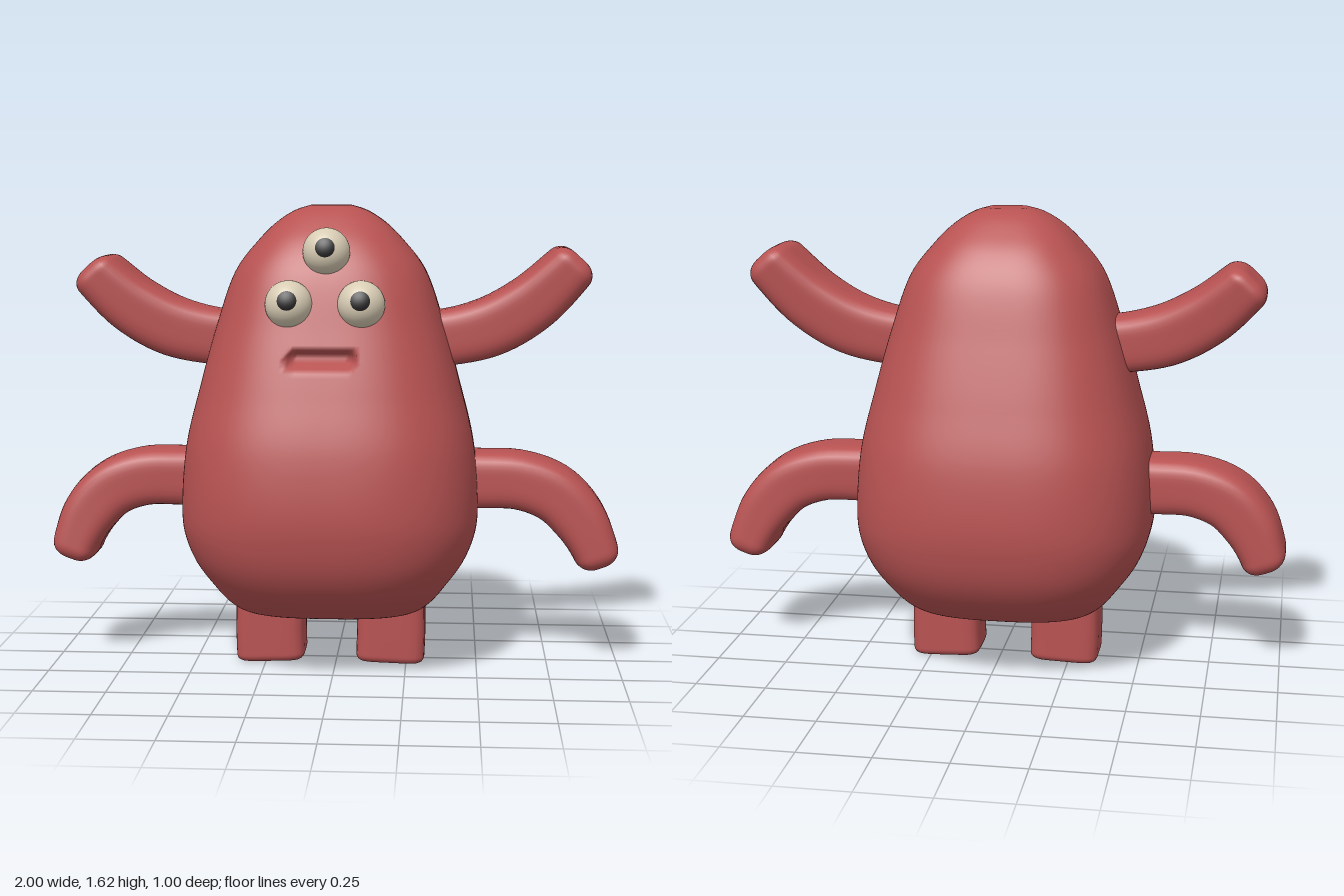
import * as THREE from 'three';

const CX = -0.02; // body centre line
const red = new THREE.MeshStandardMaterial({ color: 0xb85252 });
const ivory = new THREE.MeshStandardMaterial({ color: 0xd8ccb4 });
const black = new THREE.MeshStandardMaterial({ color: 0x1c1a1a });
red.name = 'skin red';
ivory.name = 'eye ivory';
black.name = 'pupil black';

// Closed smooth skin over rings of points; both ends are capped at the ring centre
function loft(rows, cols, point) {
  const pos = [], index = [];
  for (let i = 0; i < rows; i++)
    for (let j = 0; j < cols; j++) pos.push(...point(i / (rows - 1), (j / cols) * Math.PI * 2));
  const centre = (row) => {
    const c = [0, 0, 0];
    for (let j = 0; j < cols; j++)
      for (let k = 0; k < 3; k++) c[k] += pos[(row * cols + j) * 3 + k] / cols;
    return c;
  };
  const first = rows * cols, last = first + 1;
  const ends = [...centre(0), ...centre(rows - 1)];
  pos.push(...ends);
  for (let j = 0; j < cols; j++) {
    const n = (j + 1) % cols, top = (rows - 1) * cols;
    for (let i = 0; i < rows - 1; i++) {
      const a = i * cols + j, b = i * cols + n;
      index.push(a, a + cols, b, b, a + cols, b + cols);
    }
    index.push(first, j, n, last, top + n, top + j);
  }
  const geo = new THREE.BufferGeometry();
  geo.setAttribute('position', new THREE.Float32BufferAttribute(pos, 3));
  geo.setIndex(index);
  geo.computeVertexNormals();
  return geo;
}

// Rounded-square outline
function squircle(a, n) {
  const c = Math.cos(a), s = Math.sin(a);
  const r = Math.pow(Math.abs(c) ** n + Math.abs(s) ** n, -1 / n);
  return [c * r, s * r];
}

function bodyGeometry() {
  // half width, height, half depth
  const profile = new THREE.CatmullRomCurve3([
    [0.06, 0.195, 0.05], [0.2, 0.196, 0.14], [0.31, 0.203, 0.24], [0.36, 0.235, 0.31],
    [0.42, 0.31, 0.4], [0.48, 0.4, 0.46], [0.515, 0.5, 0.49], [0.52, 0.6, 0.5],
    [0.503, 0.8, 0.48], [0.455, 1.0, 0.425], [0.4, 1.2, 0.362], [0.33, 1.4, 0.295],
    [0.255, 1.5, 0.235], [0.19, 1.565, 0.168], [0.125, 1.607, 0.11], [0.07, 1.625, 0.06],
  ].map((p) => new THREE.Vector3(...p)));
  profile.arcLengthDivisions = 600;
  return loft(130, 200, (t, a) => {
    const p = profile.getPointAt(t), [c, s] = squircle(a, 2.8);
    const x = CX + p.x * c;
    let z = p.z * s;
    // mouth: a slot pressed into the face
    if (z > 0) {
      const d = Math.hypot(Math.max(Math.abs(x + 0.03) - 0.088, 0), p.y - 1.118);
      z -= 0.05 * (1 - THREE.MathUtils.smoothstep(d, 0.016, 0.031));
    }
    return [x, p.y, z];
  });
}

// Boxy limb in the xy plane; points are [x, y, half thickness], depth runs d0 to d1
function limbGeometry(side, points, d0, d1, { round = 0.05, shift = [0, 0, 0], n = 4 } = {}) {
  const path = new THREE.CatmullRomCurve3(points.map((p) => new THREE.Vector3(...p)));
  const length = path.getLength();
  return loft(40, 48, (u, a) => {
    const t = 1 - (1 - u) ** 2;
    const p = path.getPointAt(t), tan = path.getTangentAt(t);
    const l = Math.hypot(tan.x, tan.y);
    // shrink the last rings into a rounded tip
    const k = Math.max(0, 1 - ((1 - t) * length) / round);
    const inset = round * (1 - Math.sqrt(Math.max(0, 1 - k * k)));
    const [c, s] = squircle(a, n);
    const h = (p.z - inset) * c, d = (d0 + (d1 - d0) * t - inset) * s;
    const bend = t * t;
    return [
      CX + side * (p.x - (tan.y / l) * h) + shift[0] * bend,
      p.y + (tan.x / l) * h + shift[1] * bend,
      -side * d + shift[2] * bend,
    ];
  });
}

export function createModel() {
  const model = new THREE.Group();
  model.name = 'threeEyedMonster';
  const add = (name, geo, mat, parent = model) => {
    const mesh = new THREE.Mesh(geo, mat);
    mesh.name = name;
    parent.add(mesh);
    return mesh;
  };

  add('body', bodyGeometry(), red);

  // Arms and legs
  const upper = [[0.28, 1.16, 0.1], [0.4, 1.165, 0.098], [0.56, 1.205, 0.103], [0.7, 1.287, 0.1],
    [0.81, 1.39, 0.09], [0.862, 1.447, 0.082]];
  const lower = [[0.4, 0.665, 0.103], [0.52, 0.665, 0.101], [0.67, 0.66, 0.1], [0.79, 0.615, 0.1],
    [0.875, 0.53, 0.096], [0.925, 0.44, 0.084], [0.953, 0.362, 0.076]];
  const leg = [[0.215, 0.34, 0.122], [0.215, 0.2, 0.122], [0.216, 0.1, 0.122], [0.213, 0.008, 0.122]];
  for (const [side, label] of [[1, 'left'], [-1, 'right']]) {
    const left = side > 0;
    add(label + 'UpperArm', limbGeometry(side, upper, 0.09, 0.145,
      { shift: left ? [0, 0, 0] : [0.012, -0.035, -0.02] }), red);
    add(label + 'LowerArm', limbGeometry(side, lower, 0.1, 0.14,
      { shift: left ? [0, 0, -0.008] : [0.03, 0.015, 0.015] }), red);
    add(label + 'Leg', limbGeometry(side, leg, 0.11, 0.11, { round: 0.025, n: 6 }), red);
  }

  // Eyes, each with a thin pupil cap looking forward and slightly up
  const R = 0.08;
  const ball = new THREE.SphereGeometry(R, 40, 28);
  const cap = new THREE.SphereGeometry(R + 0.002, 32, 8, 0, Math.PI * 2, 0, 0.41);
  for (const [name, x, y, z] of [['topEye', CX, 1.473, 0.262],
    ['leftEye', 0.1, 1.3, 0.318], ['rightEye', -0.143, 1.3, 0.318]]) {
    const eye = new THREE.Group();
    eye.name = name;
    eye.position.set(x, y, z);
    add('eyeball', ball, ivory, eye);
    add('pupil', cap, black, eye).rotation.x = Math.PI / 2 - 0.22;
    model.add(eye);
  }
  return model;
}
